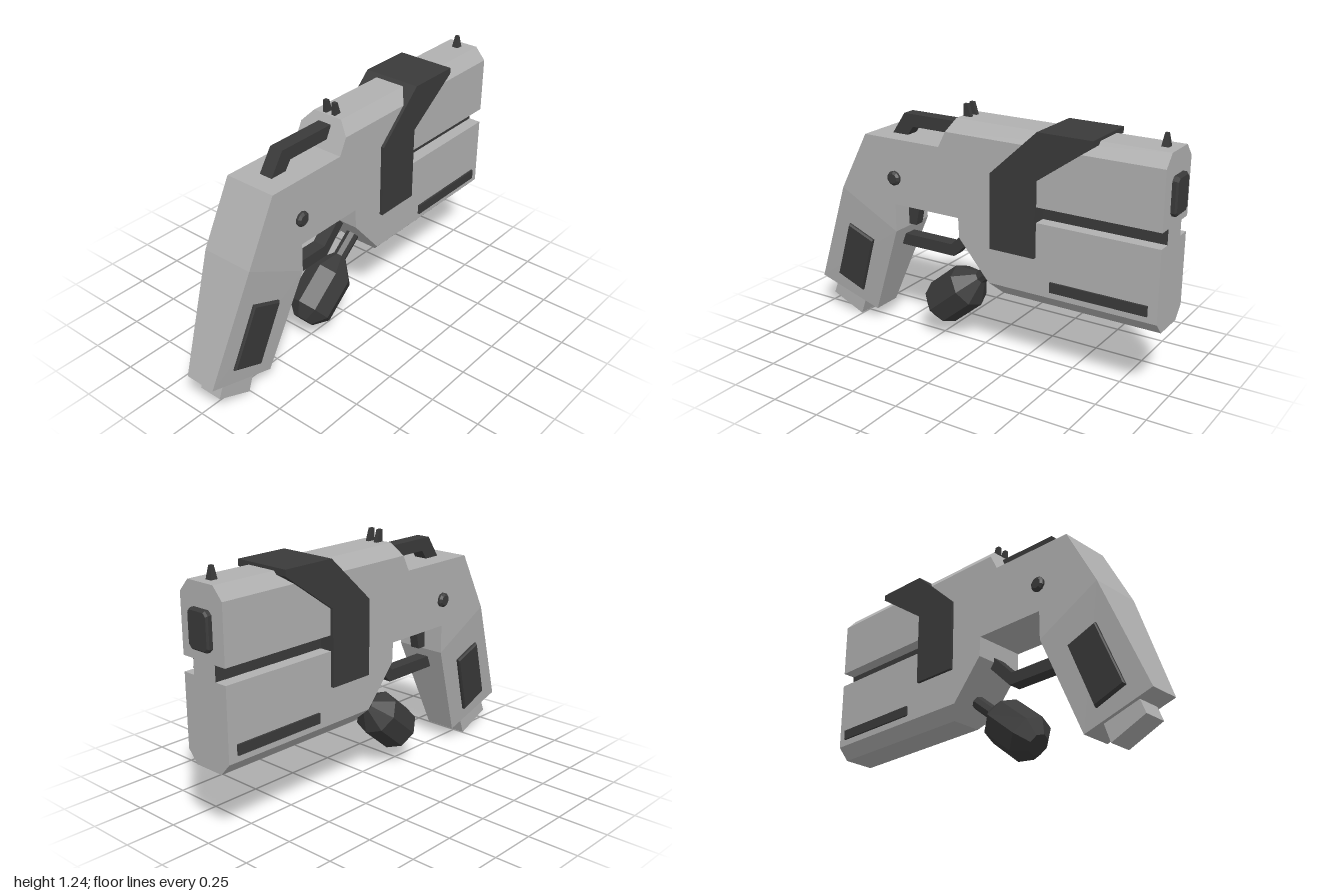
import * as THREE from 'three';

export function createModel() {
  const model = new THREE.Group();
  const gray = new THREE.MeshStandardMaterial({ color: 0xb0b0b0, flatShading: true });
  gray.name = 'light gray';
  const dark = new THREE.MeshStandardMaterial({ color: 0x3a3a3a, flatShading: true });
  dark.name = 'dark gray';

  function add(name, geometry, material, x = 0, y = 0, z = 0) {
    const mesh = new THREE.Mesh(geometry, material);
    mesh.name = name;
    mesh.position.set(x, y, z);
    model.add(mesh);
    return mesh;
  }

  // Joins matching counter-clockwise outlines, ordered by rising z, and caps both ends
  function loft(rings) {
    const pos = [];
    const tri = (...pts) => pts.forEach((p) => pos.push(...p));
    for (let r = 0; r + 1 < rings.length; r++) {
      const a = rings[r], b = rings[r + 1];
      a.forEach((p, i) => {
        const j = (i + 1) % a.length;
        tri(p, a[j], b[j]);
        tri(p, b[j], b[i]);
      });
    }
    const cap = (ring, flip) => {
      const flat = ring.map((p) => new THREE.Vector2(p[0], p[1]));
      for (const [a, b, c] of THREE.ShapeUtils.triangulateShape(flat, [])) {
        if (flip) tri(ring[a], ring[c], ring[b]);
        else tri(ring[a], ring[b], ring[c]);
      }
    };
    cap(rings[0], true);
    cap(rings[rings.length - 1], false);
    const g = new THREE.BufferGeometry();
    g.setAttribute('position', new THREE.Float32BufferAttribute(pos, 3));
    g.computeVertexNormals();
    return g;
  }
  const atZ = (outline, z) => outline.map(([x, y]) => [x, y, z]);
  const mirrorZ = (rings) => rings.map((ring) => ring.map(([x, y, z]) => [x, y, -z])).reverse();
  function addPair(name, rings, material) {
    add(name + 'Front', loft(rings), material);
    add(name + 'Back', loft(mirrorZ(rings)), material);
  }

  // Flat profile extruded evenly about z = 0
  function plate(points, half) {
    const shape = new THREE.Shape(points.map((p) => new THREE.Vector2(...p)));
    const g = new THREE.ExtrudeGeometry(shape, { depth: half * 2, bevelEnabled: false });
    return g.translate(0, 0, -half);
  }

  // Body: core, then grooved flanks with chamfered barrel and tapered grip
  const W = 0.134, inner = 0.08, core = 0.069;
  const notch = [[0.973, 0.76], [0.33, 0.76], [0.33, 0.835], [0.973, 0.835]];
  const middle = [[-0.18, 1.035], [-0.62, 1.035], [-0.78, 0.73]];
  const guardEdge = [[-0.445, 0.555], [-0.445, 0.7], [-0.07, 0.7], [-0.065, 0.6]];
  const outline = (cut) => [
    [0.973, 0.345], ...cut, [0.973, 1.175], [-0.11, 1.175], ...middle,
    [-0.995, 0.175], [-0.63, 0.065], ...guardEdge, [0.155, 0.345],
  ];
  const outerOutline = [
    [0.973, 0.405], ...notch, [0.973, 1.115], [-0.14, 1.115], ...middle,
    middle[2], guardEdge[0], ...guardEdge, [0.103, 0.405],
  ];
  add('bodyCore', loft([atZ(outline([]), -core), atZ(outline([]), core)]), gray);
  addPair('bodySide', [atZ(outline(notch), core), atZ(outline(notch), inner), atZ(outerOutline, W)], gray);

  // Magazine foot under the grip
  add('gripFoot', plate([[-0.94, 0.08], [-0.755, 0], [-0.71, 0.13], [-0.89, 0.21]], 0.061), gray);

  // Grip panels lying on the tapered faces
  const gripZ = ([x, y]) => W - 0.0973 * -((x + 0.78) * 0.463 + (y - 0.73) * 0.886);
  const panel = [[-0.87, 0.22], [-0.71, 0.16], [-0.6, 0.475], [-0.755, 0.535]];
  const panelRing = (scale, lift) => panel.map(([x, y]) => {
    const p = [-0.734 + (x + 0.734) * scale, 0.348 + (y - 0.348) * scale];
    return [...p, gripZ(p) + lift];
  });
  addPair('gripPanel', [panelRing(1, -0.01), panelRing(1, 0.01), panelRing(0.95, 0.018)], dark);

  // Strap wrapped over the barrel
  add('strap', plate([
    [0.118, 0.588], [0.358, 0.588], [0.358, 0.96], [0.64, 1.16],
    [0.64, 1.19], [0.363, 1.19], [0.118, 0.96],
  ], 0.15), dark);

  // Side details, mirrored front to back
  for (const s of [1, -1]) {
    const side = s > 0 ? 'Front' : 'Back';
    add('grooveInlay' + side, new THREE.BoxGeometry(0.642, 0.074, 0.006), dark, 0.651, 0.7975, s * 0.068);
    add('grooveEnd' + side, new THREE.BoxGeometry(0.03, 0.074, 0.07), dark, 0.341, 0.7975, s * 0.104);
    add('sideBar' + side, new THREE.BoxGeometry(0.487, 0.05, 0.03), dark, 0.683, 0.462, s * 0.129);
    const pin = new THREE.LatheGeometry([[0.037, 0], [0.037, 0.025], [0.025, 0.035], [0, 0.035]]
      .map((p) => new THREE.Vector2(...p)), 10);
    add('pin' + side, pin, dark, -0.445, 0.837, s * 0.12).rotation.x = s * Math.PI / 2;
    // Rear sight post
    const post = plate([[-0.1, 1.16], [-0.055, 1.16], [-0.08, 1.235], [-0.1, 1.235]], 0.01);
    add('rearSight' + side, post, dark, 0, 0, s * 0.025);
  }

  // Front sight
  const sight = new THREE.CylinderGeometry(0.011, 0.027, 0.07, 4).rotateY(Math.PI / 4);
  add('frontSight', sight, dark, 0.911, 1.2, 0);

  // Hammer bar behind the barrel
  add('hammer', plate([
    [-0.525, 1.03], [-0.435, 1.03], [-0.4, 1.08], [-0.13, 1.08], [-0.13, 1.143], [-0.45, 1.143],
  ], 0.035), dark);

  // Trigger and guard
  add('trigger', plate([[-0.46, 0.565], [-0.4, 0.565], [-0.37, 0.71], [-0.46, 0.71]], 0.025), dark);
  add('triggerGuard', plate([
    [-0.5, 0.45], [-0.165, 0.45], [-0.03, 0.585], [-0.03, 0.66], [-0.18, 0.51], [-0.47, 0.51],
  ], 0.035), dark);

  // Muzzle plate with clipped corners and bevelled rim
  const muzzleRing = (w, h, c, z) => [
    [w - c, -h], [w, c - h], [w, h - c], [w - c, h],
    [c - w, h], [-w, h - c], [-w, c - h], [c - w, -h],
  ].map(([x, y]) => [x, y, z]);
  const muzzle = loft([
    muzzleRing(0.065, 0.09, 0.018, -0.01),
    muzzleRing(0.065, 0.09, 0.018, 0.019),
    muzzleRing(0.057, 0.082, 0.015, 0.027),
  ]);
  add('muzzle', muzzle, dark, 0.973, 0.975, 0).rotation.y = Math.PI / 2;

  // Eight-sided bulb handle on a slanted stem
  const bulb = new THREE.LatheGeometry([
    [0, -0.343], [0.055, -0.343], [0.117, -0.28], [0.117, -0.075], [0.034, 0.022], [0.034, 0.24],
  ].map((p) => new THREE.Vector2(...p)), 8);
  add('bulbHandle', bulb, dark, -0.043, 0.343, 0).rotation.z = -0.877;

  return model;
}
